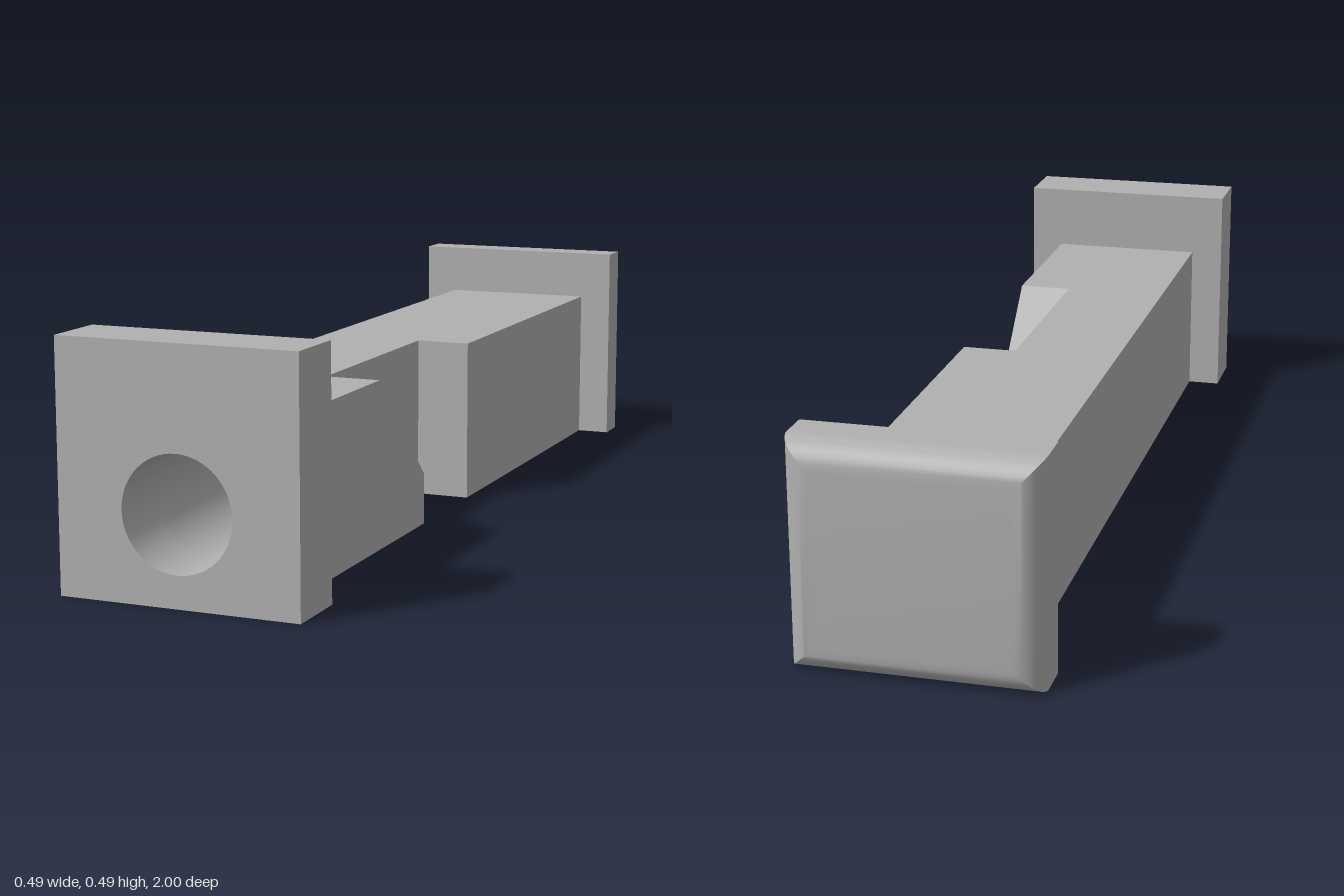
import * as THREE from 'three';
import { toCreasedNormals } from 'three/addons/utils/BufferGeometryUtils.js';

const HALF = 0.172, TOP = 0.348;      // shaft half width and height
const STEP = 0.055;                   // x of the notch wall
const PLATE = 0.246;                  // half width of both end plates
const BORE_END = 0.5, PLATE_Z = 0.862, CAP_Z = -0.878;

const grey = new THREE.MeshStandardMaterial({ color: 0xb0b0b0 });
grey.name = 'grey';

export function createModel() {
  const model = new THREE.Group();
  const add = (name, geometry) => {
    const mesh = new THREE.Mesh(geometry, grey);
    mesh.name = name;
    model.add(mesh);
  };

  // Box given by its extents
  const box = (x0, x1, y0, y1, z0, z1) =>
    new THREE.BoxGeometry(x1 - x0, y1 - y0, z1 - z0)
      .translate((x0 + x1) / 2, (y0 + y1) / 2, (z0 + z1) / 2);

  // Rectangular block with the round bore running along z
  const boredBlock = (half, height, z0, z1) => {
    const shape = new THREE.Shape([
      new THREE.Vector2(-half, 0), new THREE.Vector2(half, 0),
      new THREE.Vector2(half, height), new THREE.Vector2(-half, height),
    ]);
    shape.holes.push(new THREE.Path().absarc(0, 0.177, 0.113, 0, Math.PI * 2, true));
    const g = new THREE.ExtrudeGeometry(shape, { depth: z1 - z0, bevelEnabled: false, curveSegments: 32 });
    return toCreasedNormals(g.translate(0, 0, z0), 0.6);
  };

  // Front plate and bored end of the shaft
  add('frontPlate', boredBlock(PLATE, 0.492, PLATE_Z, 1));
  add('boredShaftEnd', boredBlock(HALF, TOP, BORE_END, PLATE_Z));

  // Shaft core; its front face closes the bore
  add('shaftCore', box(-HALF, STEP, 0, TOP, CAP_Z, BORE_END));

  // Shaft side behind the notch
  add('shaftSide', box(STEP, HALF, 0, TOP, CAP_Z, -0.046));

  // Sloped shaft side in front of the notch, drawn as (z, y)
  const slope = new THREE.Shape([
    [0.215, 0], [BORE_END, 0], [BORE_END, TOP], [0.458, TOP], [0.215, 0.108],
  ].map(([z, y]) => new THREE.Vector2(z, y)));
  add('slopedSide', new THREE.ExtrudeGeometry(slope, { depth: HALF - STEP, bevelEnabled: false })
    .rotateY(-Math.PI / 2).translate(HALF, 0, 0));

  add('roundedBackPlate', roundedCap(0.459, 0.055, 10));
  return model;
}

// Back plate whose rear edges are rounded, lofted from inset rectangles
function roundedCap(height, radius, steps) {
  const ring = (inset, z) => [
    [-PLATE + inset, inset, z], [PLATE - inset, inset, z],
    [PLATE - inset, height - inset, z], [-PLATE + inset, height - inset, z],
  ];
  const rings = [ring(0, CAP_Z)];
  for (let i = 0; i <= steps; i++) {
    const a = (i / steps) * Math.PI / 2;
    rings.push(ring(radius * (1 - Math.cos(a)), -1 + radius - radius * Math.sin(a)));
  }
  const points = [];
  const quad = (a, b, c, d) => points.push(...a, ...b, ...c, ...a, ...c, ...d);
  for (let k = 0; k < rings.length - 1; k++) {
    const near = rings[k], far = rings[k + 1];
    for (let i = 0; i < 4; i++) {
      const j = (i + 1) % 4;
      quad(near[i], far[i], far[j], near[j]);
    }
  }
  const [a, b, c, d] = rings[0];
  quad(a, b, c, d);
  const [e, f, g, h] = rings[rings.length - 1];
  quad(h, g, f, e);
  const geometry = new THREE.BufferGeometry();
  geometry.setAttribute('position', new THREE.Float32BufferAttribute(points, 3));
  return toCreasedNormals(geometry, 0.5);
}
